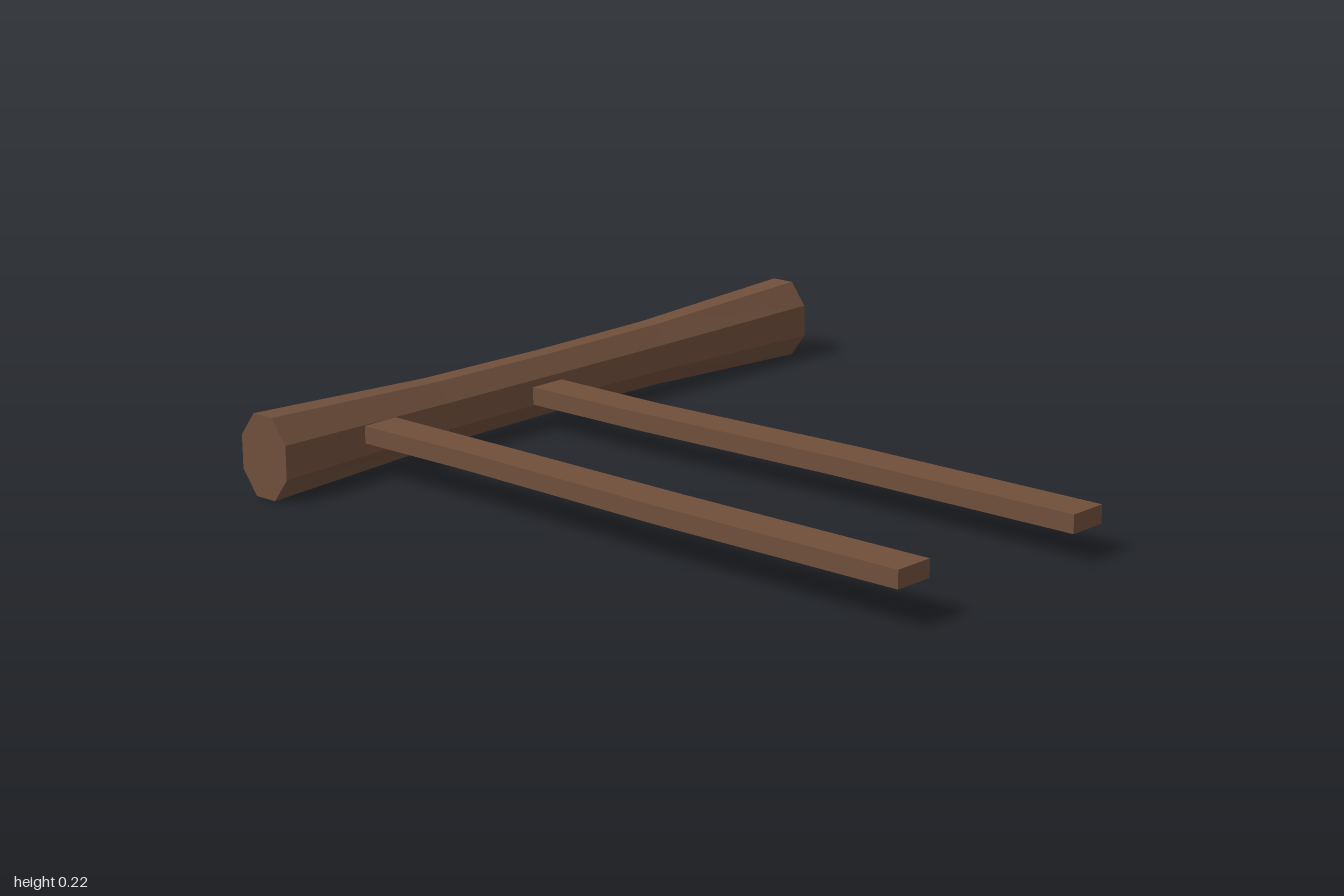
import * as THREE from 'three';

const wood = new THREE.MeshStandardMaterial({ color: 0x6f4f3b, flatShading: true });
wood.name = 'brown wood';

function addPart(group, name, geometry) {
  const flat = geometry.toNonIndexed();
  flat.computeVertexNormals();
  const mesh = new THREE.Mesh(flat, wood);
  mesh.name = name;
  group.add(mesh);
}

// Eight-sided log along z, narrowing towards the middle
function logGeometry() {
  const stations = [[-1, 0.084, 0.11], [-0.42, 0.068, 0.0875], [0, 0.065, 0.084],
    [0.42, 0.068, 0.0875], [1, 0.084, 0.11]]; // z, half width, half height
  const geo = new THREE.CylinderGeometry(1, 1, 2, 8, 4);
  geo.rotateY(Math.PI / 8).rotateX(Math.PI / 2);
  const p = geo.attributes.position;
  const k = 1 / Math.cos(Math.PI / 8);
  for (let i = 0; i < p.count; i++) {
    const [z, w, h] = stations[Math.round((p.getZ(i) + 1) * 2)];
    p.setXYZ(i, -0.898 + p.getX(i) * w * k, 0.113 + p.getY(i) * h * k, z);
  }
  return geo;
}

// Slightly bent plank along x; each station is [x, back z, front z]
function plankGeometry(stations, bottom, top) {
  const n = stations.length - 1;
  const geo = new THREE.BoxGeometry(1, 1, 1, n, 1, 1);
  const p = geo.attributes.position;
  for (let i = 0; i < p.count; i++) {
    const [x, back, front] = stations[Math.round((p.getX(i) + 0.5) * n)];
    p.setXYZ(i, x, p.getY(i) > 0 ? top : bottom, p.getZ(i) > 0 ? front : back);
  }
  return geo;
}

export function createModel() {
  const group = new THREE.Group();
  group.name = 'log with planks';
  addPart(group, 'log', logGeometry());
  addPart(group, 'middlePlank', plankGeometry(
    [[-0.845, -0.006, 0.105], [-0.45, 0, 0.105], [0.22, -0.028, 0.085], [0.98, -0.028, 0.085]],
    0.08, 0.129));
  addPart(group, 'frontPlank', plankGeometry(
    [[-0.845, 0.615, 0.725], [-0.45, 0.62, 0.725], [0.22, 0.633, 0.746], [0.98, 0.633, 0.746]],
    0.105, 0.152));
  return group;
}
